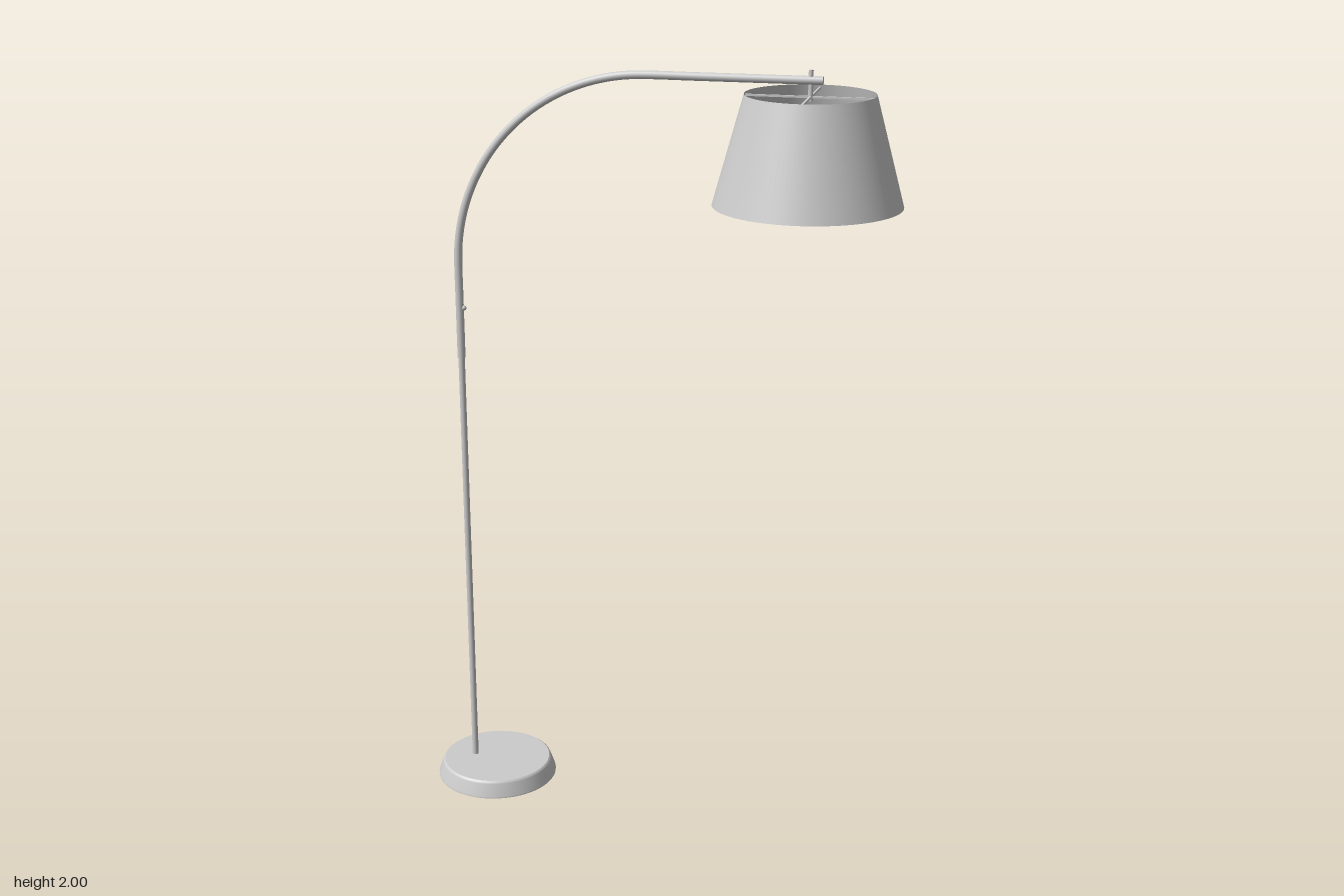
import * as THREE from 'three';

const POLE_X = -0.525, SHADE_X = 0.385, ARM_Y = 1.975, BEND = 0.5;

export function createModel() {
  const lamp = new THREE.Group();
  lamp.name = 'arcFloorLamp';
  const grey = new THREE.MeshStandardMaterial({ color: 0xcccccc });
  const thin = new THREE.MeshStandardMaterial({ color: 0xcccccc, side: THREE.DoubleSide });

  const add = (name, geometry, x = 0, y = 0, z = 0, material = grey) => {
    const mesh = new THREE.Mesh(geometry, material);
    mesh.name = name;
    mesh.position.set(x, y, z);
    lamp.add(mesh);
    return mesh;
  };
  const rod = (name, r, y0, y1, x) =>
    add(name, new THREE.CylinderGeometry(r, r, y1 - y0, 24), x, (y0 + y1) / 2);

  // Weighted foot: sloping side, small rounded shoulder, flat top and bottom
  const side = [[0.165, 0], [0.165, 0.004], [0.153, 0.038], [0.151, 0.042], [0.147, 0.045]];
  const foot = new THREE.LatheGeometry(side.map(p => new THREE.Vector2(...p)), 64);
  add('baseSide', foot, -0.46);
  const baseTop = add('baseTop', new THREE.CircleGeometry(0.147, 64), -0.46, 0.045);
  baseTop.rotation.x = -Math.PI / 2;
  const baseBottom = add('baseBottom', new THREE.CircleGeometry(0.165, 64), -0.46, 0);
  baseBottom.rotation.x = Math.PI / 2;

  // Lower pole, slid into the wider sleeve of the arm
  rod('pole', 0.0085, 0.04, 1.41, POLE_X);

  // Arm: straight sleeve, quarter bend, straight reach over the shade
  const bendY = ARM_Y - BEND, bendX = POLE_X + BEND;
  const points = [[POLE_X, 1.22], [POLE_X, 1.3], [POLE_X, 1.4]];
  for (let i = 0; i <= 16; i++) {
    const a = Math.PI - (i / 16) * Math.PI / 2;
    points.push([bendX + BEND * Math.cos(a), bendY + BEND * Math.sin(a)]);
  }
  points.push([0.1, ARM_Y], [0.25, ARM_Y], [0.415, ARM_Y]);
  const path = new THREE.CatmullRomCurve3(points.map(([x, y]) => new THREE.Vector3(x, y, 0)));
  add('arm', new THREE.TubeGeometry(path, 120, 0.0105, 20));
  const armEnd = add('armEndCap', new THREE.CircleGeometry(0.0105, 20), 0.415, ARM_Y);
  armEnd.rotation.y = Math.PI / 2;
  const sleeveEnd = add('sleeveEndCap', new THREE.CircleGeometry(0.0105, 20), POLE_X, 1.22);
  sleeveEnd.rotation.x = Math.PI / 2;

  // Height-locking knob on the sleeve
  add('lockKnob', new THREE.SphereGeometry(0.007, 16, 12), POLE_X + 0.011, 1.355);

  // Stem through the arm, holding the shade
  rod('shadeStem', 0.006, 1.925, 2, SHADE_X);

  // Four spokes from the stem to the shade's upper rim
  for (let i = 0; i < 4; i++) {
    const a = i * Math.PI / 2;
    const spoke = add('shadeSpoke', new THREE.BoxGeometry(0.16, 0.005, 0.005),
      SHADE_X + 0.08 * Math.cos(a), 1.935, -0.08 * Math.sin(a));
    spoke.rotation.y = a;
  }

  // Open tapered shade
  add('shade', new THREE.CylinderGeometry(0.161, 0.236, 0.272, 96, 1, true), SHADE_X, 1.806, 0, thin);

  return lamp;
}
